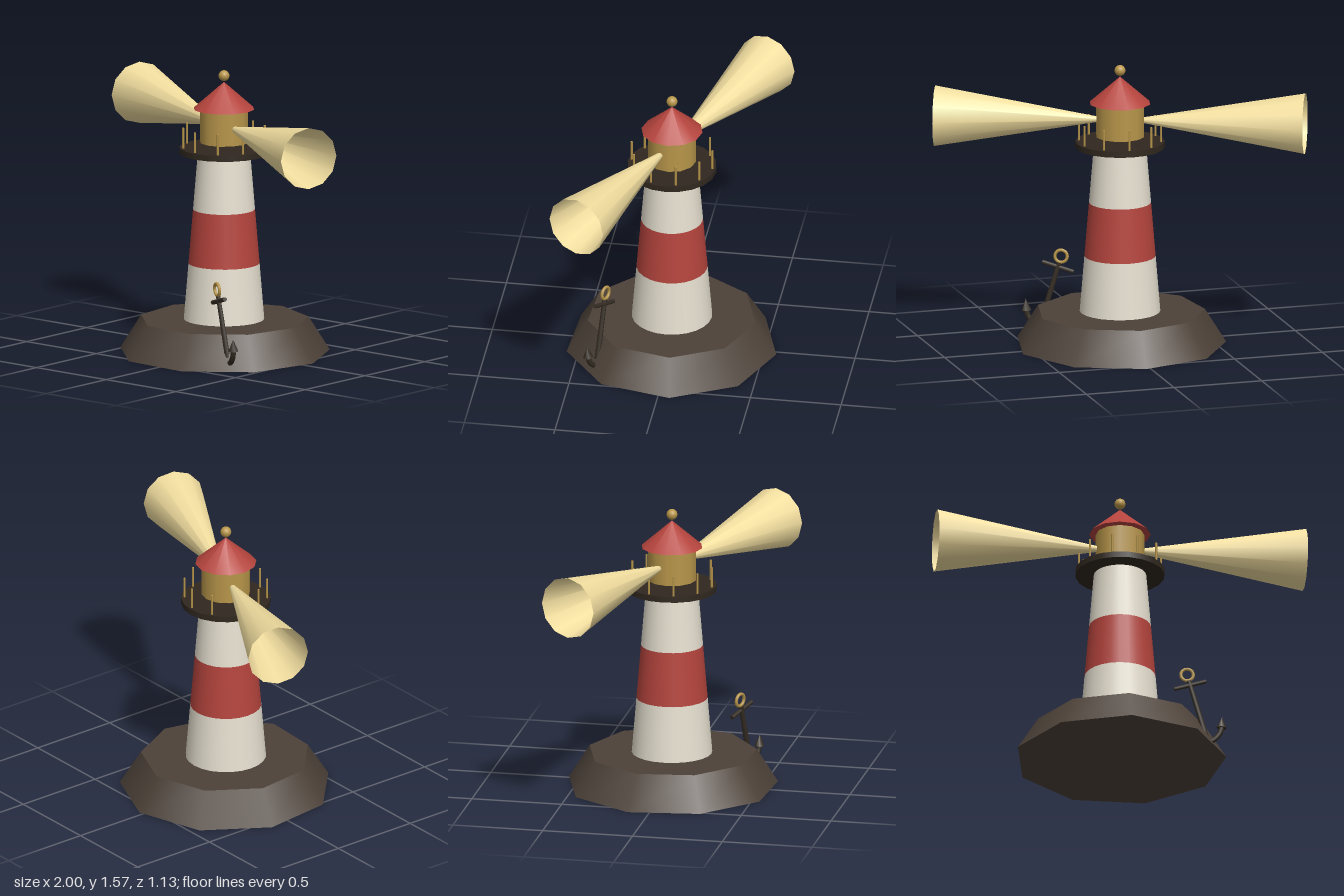
import * as THREE from 'three';

const mat = (color, side = THREE.FrontSide) => new THREE.MeshStandardMaterial({ color, side });
const rock = mat(0x4d4239), white = mat(0xe6e0d0), red = mat(0xb5443d), dark = mat(0x30281f);
const brass = mat(0xb8964a), iron = mat(0x352d24), light = mat(0xf3dfa0, THREE.DoubleSide);

function add(parent, name, geometry, material, x = 0, y = 0, z = 0) {
  const mesh = new THREE.Mesh(geometry, material);
  mesh.name = name;
  mesh.position.set(x, y, z);
  parent.add(mesh);
  return mesh;
}

// Upright round part given by its bottom and top heights and radii
function drum(parent, name, material, y0, y1, r0, r1, sides, turn = 0) {
  const geometry = new THREE.CylinderGeometry(r1, r0, y1 - y0, sides, 1, false, turn);
  return add(parent, name, geometry, material, 0, (y0 + y1) / 2, 0);
}

// Anchor in its own upright plane, origin at the ring centre
function createAnchor() {
  const anchor = new THREE.Group();
  anchor.name = 'anchor';
  add(anchor, 'anchorRing', new THREE.TorusGeometry(0.034, 0.009, 8, 20), brass);
  add(anchor, 'anchorShank', new THREE.CylinderGeometry(0.013, 0.016, 0.37, 8), iron, 0, -0.222, 0);
  const stock = add(anchor, 'anchorStock', new THREE.CylinderGeometry(0.012, 0.012, 0.18, 8), iron, 0, -0.062, 0);
  stock.rotation.z = Math.PI / 2;

  // Curved arms with a pointed fluke at each end
  const R = 0.105, cy = -0.305, end = 0.35;
  const arms = add(anchor, 'anchorArms', new THREE.TorusGeometry(R, 0.015, 8, 20, Math.PI - 2 * end), iron, 0, cy, 0);
  arms.rotation.z = Math.PI + end;
  for (const side of [-1, 1]) {
    const fluke = add(anchor, 'anchorFluke', new THREE.ConeGeometry(0.028, 0.065, 8), iron,
      side * (R * Math.cos(end) + 0.008), cy - R * Math.sin(end) + 0.024, 0);
    fluke.rotation.z = -side * end;
  }

  // Lean the anchor against the rock
  const up = new THREE.Vector3(-0.27, 0.96, -0.08).normalize();
  const across = new THREE.Vector3(0.868, 0.244, 0.434);
  across.addScaledVector(up, -across.dot(up)).normalize();
  const normal = new THREE.Vector3().crossVectors(across, up);
  anchor.quaternion.setFromRotationMatrix(new THREE.Matrix4().makeBasis(across, up, normal));
  anchor.position.set(0.234, 0.432, 0.33);
  return anchor;
}

export function createModel() {
  const model = new THREE.Group();
  model.name = 'lighthouse';
  model.position.set(-0.004, 0, 0.01);

  drum(model, 'rockBase', rock, 0.004, 0.19, 0.58, 0.464, 9, 0.3);

  // Striped tapering tower
  const heights = [0.19, 0.5, 0.8, 1.112];
  const radiusAt = (y) => 0.22 - (y - 0.19) * 0.083;
  for (let i = 0; i < 3; i++) {
    const [a, b] = [heights[i], heights[i + 1]];
    drum(model, 'towerBand', i === 1 ? red : white, a, b, radiusAt(a), radiusAt(b), 24);
  }

  // Gallery with its ring of posts
  drum(model, 'gallery', dark, 1.11, 1.143, 0.244, 0.244, 20);
  for (let i = 0; i < 10; i++) {
    const a = i * Math.PI / 5 - 0.07;
    add(model, 'railPost', new THREE.CylinderGeometry(0.006, 0.006, 0.116, 6), brass,
      0.225 * Math.sin(a), 1.199, 0.225 * Math.cos(a));
  }

  // Lantern room, roof and finial
  drum(model, 'lanternRoom', brass, 1.171, 1.353, 0.133, 0.133, 12);
  add(model, 'roof', new THREE.ConeGeometry(0.168, 0.149, 12), red, 0, 1.4315, 0);
  add(model, 'finial', new THREE.SphereGeometry(0.03, 16, 12), brass, 0, 1.54, 0);

  // Two opposite light beams, open at the far end
  const near = 0.125, far = 1.012;
  for (const turn of [0, Math.PI]) {
    const geometry = new THREE.CylinderGeometry(0.17, 0.016, far - near, 12, 1, true);
    geometry.rotateZ(-Math.PI / 2).translate((near + far) / 2, 0, 0);
    add(model, 'lightBeam', geometry, light, 0, 1.263, 0).rotation.y = turn - 0.388;
  }

  model.add(createAnchor());
  const root = new THREE.Group();
  root.name = 'model';
  root.add(model);
  return root;
}
